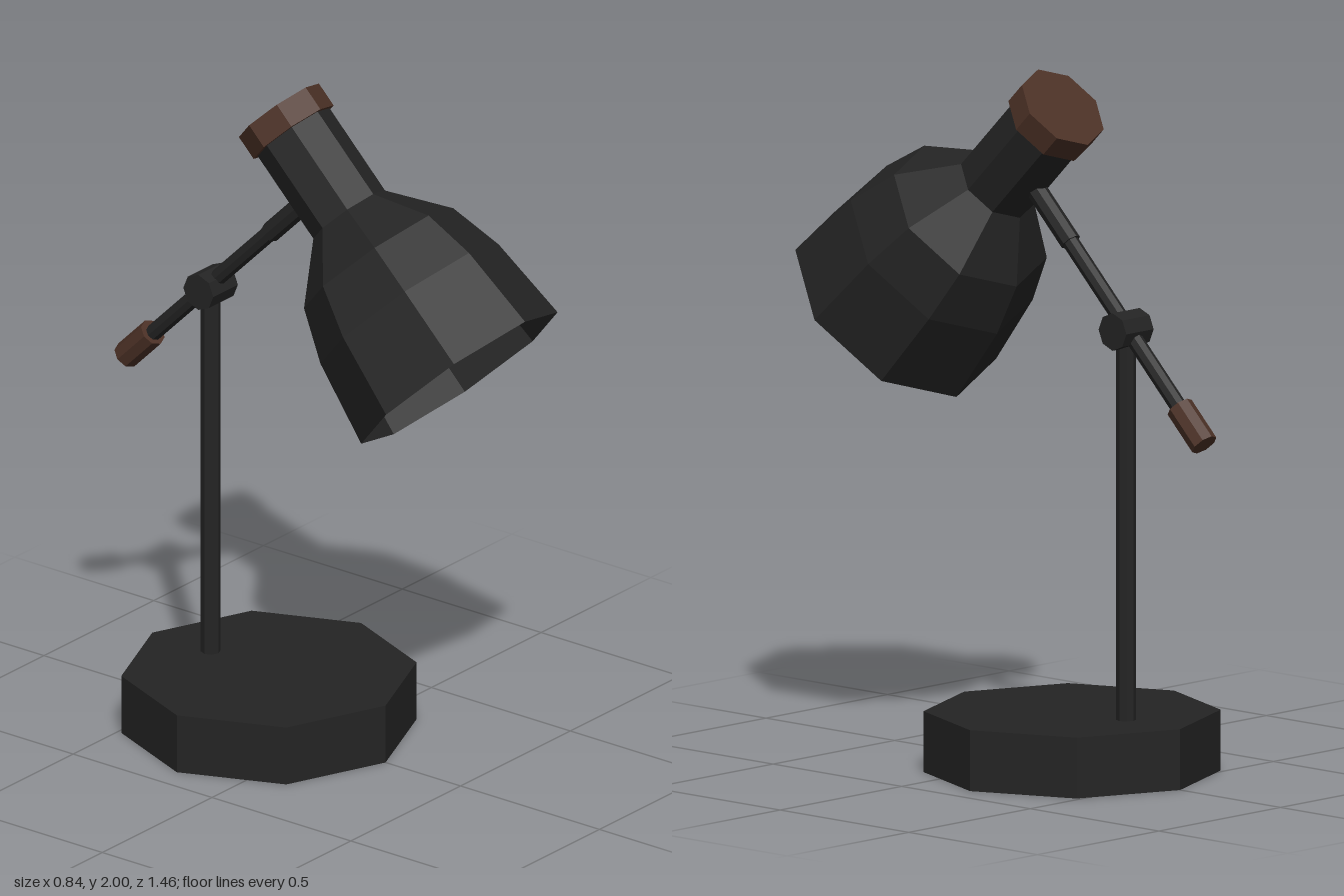
import * as THREE from 'three';

const flat = (name, color) => {
  const m = new THREE.MeshStandardMaterial({ color, flatShading: true, side: THREE.DoubleSide });
  m.name = name;
  return m;
};

export function createModel() {
  const black = flat('black metal', 0x242424);
  const brown = flat('brown wood', 0x4c3126);
  const white = flat('bulb white', 0xdcdcdc);
  const SIDES = 8;

  const lamp = new THREE.Group();
  lamp.name = 'deskLamp';
  const add = (parent, name, geometry, material) => {
    const mesh = new THREE.Mesh(geometry, material);
    mesh.name = name;
    parent.add(mesh);
    return mesh;
  };

  // Eight-sided rod between two [y, z] points on the centre plane
  const rod = (name, [y0, z0], [y1, z1], r, material) => {
    const length = Math.hypot(y1 - y0, z1 - z0);
    const mesh = add(lamp, name, new THREE.CylinderGeometry(r, r, length, SIDES), material);
    mesh.position.set(0, (y0 + y1) / 2, (z0 + z1) / 2);
    mesh.rotation.x = Math.atan2(z1 - z0, y1 - y0);
  };

  // Hollow base, open underneath
  const base = new THREE.Group();
  base.name = 'base';
  base.position.z = -0.19;
  lamp.add(base);
  add(base, 'baseWall', new THREE.CylinderGeometry(0.42, 0.42, 0.175, SIDES, 1, true), black).position.y = 0.0875;
  const top = add(base, 'baseTop', new THREE.CircleGeometry(0.42, SIDES), black);
  top.rotation.x = -Math.PI / 2;
  top.position.y = 0.175;

  // Stand and tilting arm
  rod('pole', [0.17, -0.4], [1.3, -0.4], 0.028, black);
  const joint = add(lamp, 'joint', new THREE.CylinderGeometry(0.054, 0.054, 0.112, SIDES), black);
  joint.rotation.z = Math.PI / 2;
  joint.position.set(0, 1.297, -0.4);
  rod('arm', [1.65, -0.055], [1.08, -0.625], 0.024, black);
  rod('armSleeve', [1.66, -0.045], [1.52, -0.185], 0.03, black);
  rod('counterweight', [1.1, -0.608], [1.004, -0.704], 0.04, brown);

  // Head: local +y runs from the cap down towards the open rim
  const head = new THREE.Group();
  head.name = 'head';
  head.position.set(0, 1.904, -0.154);
  head.rotation.x = Math.PI * 0.75;
  lamp.add(head);
  add(head, 'cap', new THREE.CylinderGeometry(0.136, 0.136, 0.075, SIDES), brown).position.y = 0.0375;
  const profile = [[0.122, 0.07], [0.122, 0.358], [0.254, 0.508], [0.303, 0.665], [0.334, 0.919]]
    .map(([r, y]) => new THREE.Vector2(r, y));
  add(head, 'shade', new THREE.LatheGeometry(profile, SIDES), black);
  add(head, 'bulb', new THREE.SphereGeometry(0.19, SIDES, 6), white).position.y = 0.61;

  return lamp;
}
